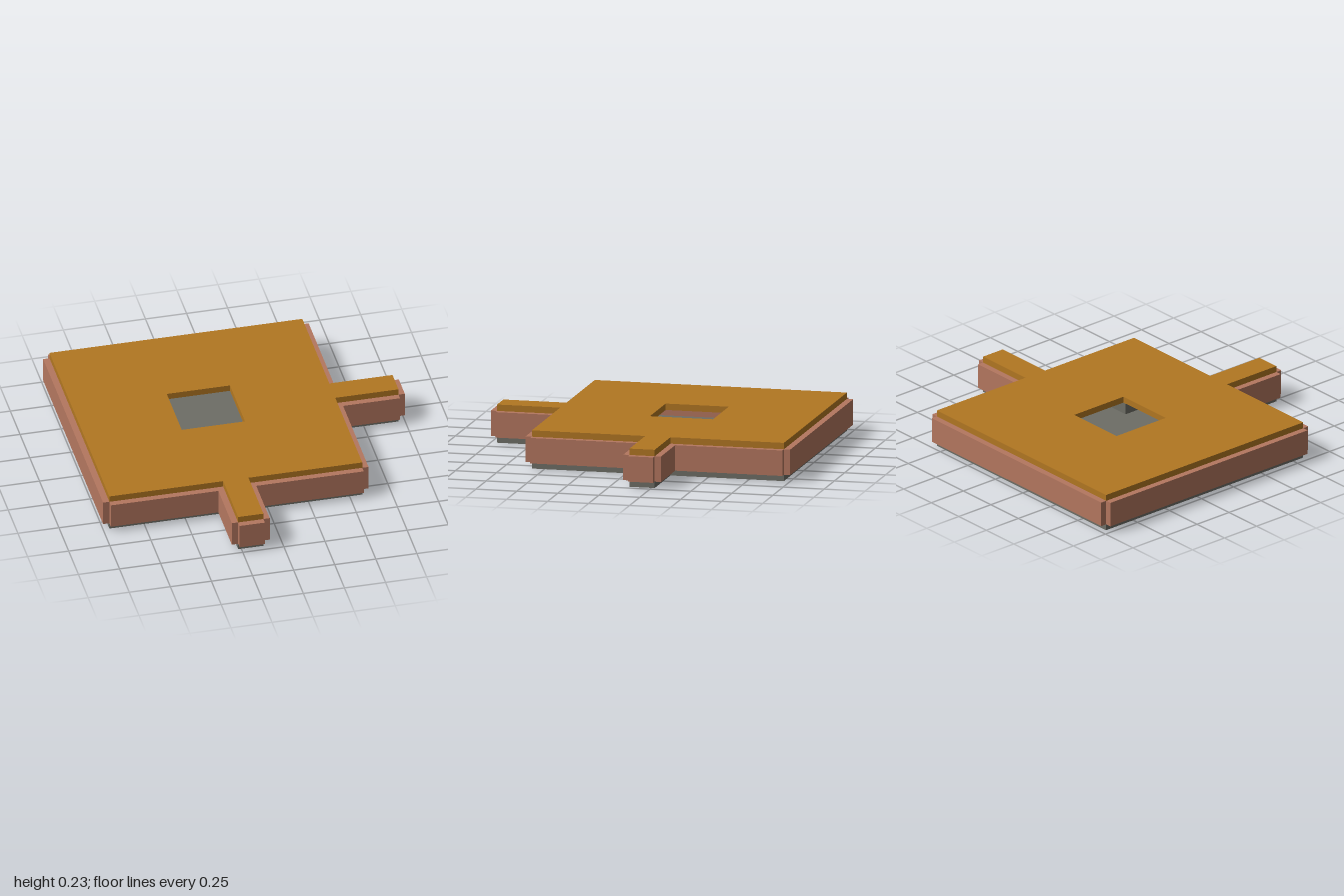
import * as THREE from 'three';

const U = 2 / 52; // one grid unit

// Floor plan in grid units (x, z): square room with two short corridors
const PLAN = [
  [-25, -25], [15, -25], [15, -7], [25, -7], [25, -3], [15, -3],
  [15, 15], [-3, 15], [-3, 25], [-7, 25], [-7, 15], [-25, 15],
];
const toPoints = (list) => list.map(([x, z]) => new THREE.Vector2(x * U, z * U));

export function createModel() {
  const group = new THREE.Group();
  const wood = new THREE.MeshStandardMaterial({ name: 'ochre wood', color: 0xb27722 });
  const brick = new THREE.MeshStandardMaterial({ name: 'red brick', color: 0xb4775f });
  const stone = new THREE.MeshStandardMaterial({ name: 'grey stone', color: 0x6e6e66 });

  const add = (name, geometry, material, x, y, z) => {
    const mesh = new THREE.Mesh(geometry, material);
    mesh.name = name;
    mesh.position.set(x, y, z);
    group.add(mesh);
    return mesh;
  };

  // Slab one unit thick, hanging down from the given top height
  const slab = (name, material, top, hole) => {
    const shape = new THREE.Shape(toPoints(PLAN));
    if (hole) shape.holes.push(new THREE.Path(toPoints(hole)));
    const geometry = new THREE.ExtrudeGeometry(shape, { depth: U, bevelEnabled: false });
    geometry.rotateX(Math.PI / 2);
    add(name, geometry, material, 0, top * U, 0);
  };
  slab('floor', stone, 1);
  slab('roof', wood, 6, [[-10, -10], [-10, 0], [0, 0], [0, -10]]);

  // Wall strips just outside each edge of the plan, trimmed at inner corners
  const n = PLAN.length;
  PLAN.forEach(([ax, az], i) => {
    const [bx, bz] = PLAN[(i + 1) % n];
    const [cx, cz] = PLAN[(i + 2) % n];
    const length = Math.hypot(bx - ax, bz - az);
    const dx = (bx - ax) / length, dz = (bz - az) / length;
    const concave = dx * (cz - bz) - dz * (cx - bx) < 0;
    const run = concave ? length - 1 : length;
    const geometry = new THREE.BoxGeometry(
      (Math.abs(dx) * run + Math.abs(dz)) * U, 4 * U, (Math.abs(dz) * run + Math.abs(dx)) * U);
    add('wall', geometry, brick,
      (ax + dx * run / 2 + dz / 2) * U, 3 * U, (az + dz * run / 2 - dx / 2) * U);
  });

  // Four inner pillars around the roof opening
  for (const sx of [-1, 1]) {
    for (const sz of [-1, 1]) {
      add('pillar', new THREE.BoxGeometry(4 * U, 4 * U, 4 * U), stone,
        (-5 + sx * 10) * U, 3 * U, (-5 + sz * 10) * U);
    }
  }
  return group;
}
